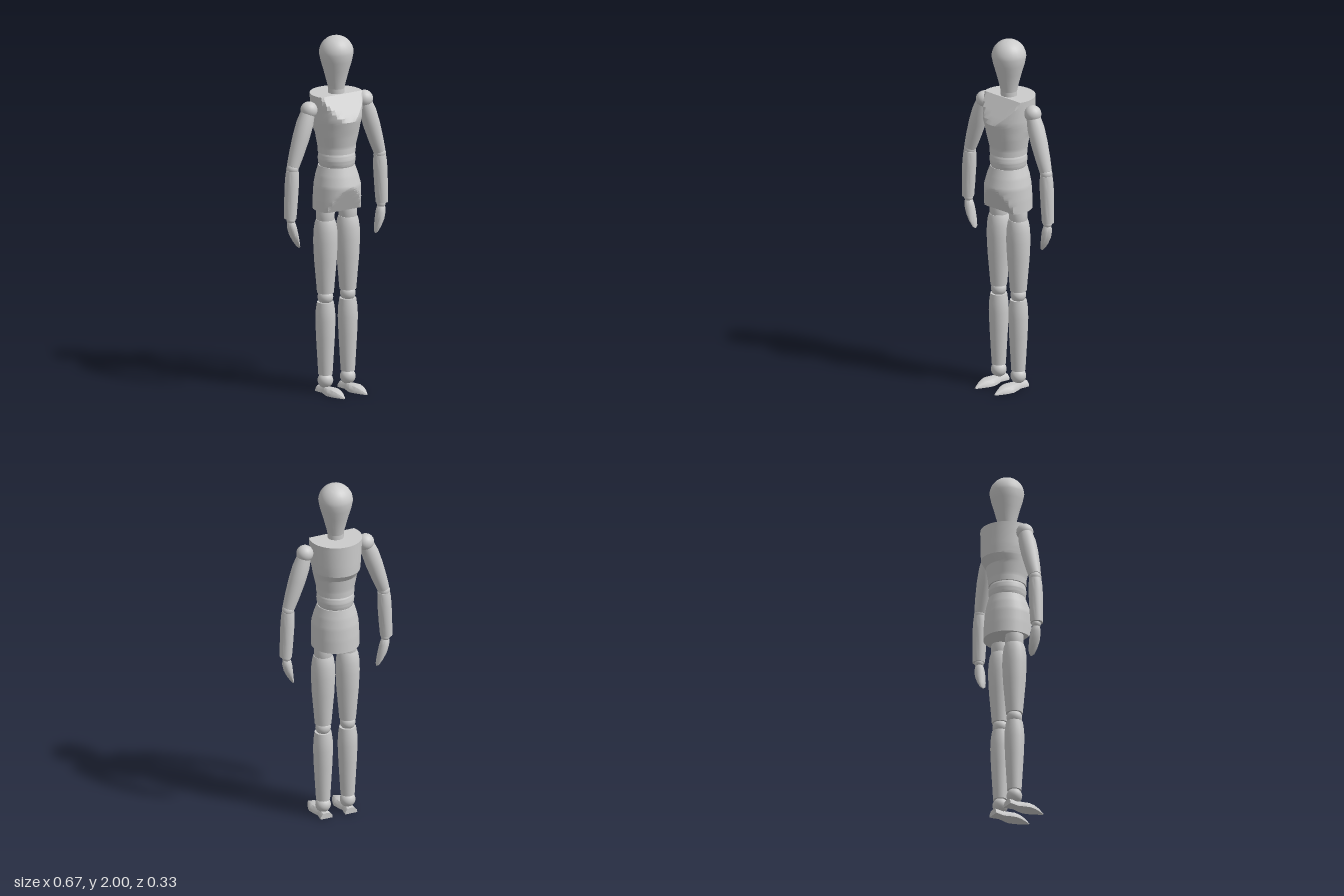
import * as THREE from 'three';
import { toCreasedNormals } from 'three/addons/utils/BufferGeometryUtils.js';

const material = new THREE.MeshStandardMaterial({ color: 0xcccccc });
const CX = 0.003; // body centre line
const CZ = -0.018; // depth of the joint centres

function addMesh(group, name, geometry) {
  const mesh = new THREE.Mesh(geometry, material);
  mesh.name = name;
  group.add(mesh);
  return mesh;
}

// Closed solid through horizontal rings of [x, z] points, listed bottom to top
function loft(rings, crease = 0.6) {
  const n = rings[0].length;
  const pos = [];
  const index = [];
  for (const ring of rings) for (const p of ring) pos.push(...p);
  for (let r = 0; r < rings.length - 1; r++) {
    for (let i = 0; i < n; i++) {
      const a = r * n + i, b = r * n + (i + 1) % n;
      index.push(a, b, b + n, a, b + n, a + n);
    }
  }
  const last = (rings.length - 1) * n;
  for (let i = 1; i < n - 1; i++) {
    index.push(0, i + 1, i, last, last + i, last + i + 1);
  }
  const geometry = new THREE.BufferGeometry();
  geometry.setAttribute('position', new THREE.Float32BufferAttribute(pos, 3));
  geometry.setIndex(index);
  return toCreasedNormals(geometry, crease);
}

// Oval trunk block from [y, halfWidth, backZ, frontZ] rows, its front trimmed by a slanted plane
function trunk(rows, frontLimit) {
  const rings = [];
  const steps = 6, sides = 32;
  for (let k = 0; k <= (rows.length - 1) * steps; k++) {
    const r = Math.min(Math.floor(k / steps), rows.length - 2);
    const f = k / steps - r;
    const [y, w, back, front] = rows[r].map((v, j) => THREE.MathUtils.lerp(v, rows[r + 1][j], f));
    const ring = [];
    for (let i = 0; i < sides; i++) {
      const t = (i / sides) * Math.PI * 2;
      const z = (front + back) / 2 + Math.cos(t) * (front - back) / 2;
      ring.push([CX + Math.sin(t) * w, y, Math.min(z, frontLimit(y))]);
    }
    rings.push(ring);
  }
  return loft(rings, 0.4);
}

// Turned wooden piece from one point to another; profile is [fraction, radius]
function turned(from, to, profile, sides = 20) {
  const a = new THREE.Vector3(...from), b = new THREE.Vector3(...to);
  const axis = b.clone().sub(a);
  const length = axis.length();
  const points = [[0, 0], ...profile, [1, 0]].map(([t, r]) => new THREE.Vector2(r, t * length));
  const geometry = toCreasedNormals(new THREE.LatheGeometry(points, sides), 0.6);
  geometry.applyQuaternion(new THREE.Quaternion().setFromUnitVectors(
    new THREE.Vector3(0, 1, 0), axis.normalize()));
  return geometry.translate(a.x, a.y, a.z);
}

function ball(x, y, r) {
  return new THREE.SphereGeometry(r, 20, 14).translate(x, y, CZ);
}

// Egg-shaped head: tapered jaw rising into a round crown
function headGeometry() {
  const pts = [[0, 1.705], [0.045, 1.705], [0.05, 1.73], [0.071, 1.81], [0.086, 1.86]];
  for (let i = 0; i <= 10; i++) {
    const t = (i / 10) * Math.PI / 2;
    pts.push([i === 10 ? 0 : 0.095 * Math.cos(t), 1.905 + 0.095 * Math.sin(t)]);
  }
  const g = new THREE.LatheGeometry(pts.map((p) => new THREE.Vector2(...p)), 24);
  return toCreasedNormals(g, 0.6).translate(CX, 0, -0.021);
}

// Flat mitten hand, narrowing to an edge that bends inward
function handGeometry(wrist, tip) {
  const rows = [[0, 0.002, 0.004], [0.06, 0.007, 0.017], [0.25, 0.016, 0.026], [0.5, 0.024, 0.031],
    [0.75, 0.027, 0.029], [0.92, 0.024, 0.023], [1, 0.016, 0.016]];
  const outward = Math.sign(wrist[0]);
  return loft(rows.map(([t, w, d]) => {
    const x = THREE.MathUtils.lerp(tip[0], wrist[0], t) + outward * 0.008 * Math.sin(Math.PI * t);
    const y = THREE.MathUtils.lerp(tip[1], wrist[1], t);
    return Array.from({ length: 16 }, (_, i) => {
      const a = (i / 16) * Math.PI * 2;
      return [x + w * Math.sin(a), y, CZ + d * Math.cos(a)];
    });
  }));
}

// Foot with a square heel, narrow arch and pointed toe; rows are [z, halfWidth, height]
function footGeometry(x) {
  const rows = [[-0.065, 0.036, 0.034], [-0.045, 0.034, 0.035], [-0.01, 0.027, 0.035], [0.025, 0.038, 0.036],
    [0.06, 0.046, 0.037], [0.095, 0.038, 0.034], [0.125, 0.025, 0.025], [0.165, 0.005, 0.006]];
  const section = [[-1, 0], [1, 0], [0.95, 0.45], [0.6, 0.9], [0, 1], [-0.6, 0.9], [-0.95, 0.45]];
  return loft(rows.map(([z, w, h]) => section.map(([u, v]) => [x + u * w, v * h, z])), 0.7);
}

export function createModel() {
  const model = new THREE.Group();
  model.name = 'jointedFigure';

  // Head and trunk
  addMesh(model, 'head', headGeometry());
  addMesh(model, 'neck', turned([CX, 1.66, -0.021], [CX, 1.712, -0.021], [[0, 0.045], [1, 0.045]]));
  addMesh(model, 'chest', trunk([
    [1.35, 0.104, -0.121, 0.085], [1.385, 0.106, -0.122, 0.085], [1.46, 0.122, -0.133, 0.102],
    [1.5, 0.131, -0.165, 0.113], [1.54, 0.137, -0.166, 0.123], [1.68, 0.146, -0.166, 0.125],
  ], (y) => 0.03 + (1.68 - y) * 0.68));
  addMesh(model, 'waist', trunk([
    [1.265, 0.092, -0.11, 0.075], [1.285, 0.1, -0.118, 0.083], [1.315, 0.104, -0.122, 0.087],
    [1.34, 0.1, -0.118, 0.083], [1.355, 0.094, -0.11, 0.077],
  ], () => 1));
  addMesh(model, 'pelvis', trunk([
    [1.03, 0.132, -0.149, 0.118], [1.1, 0.132, -0.147, 0.118], [1.17, 0.129, -0.142, 0.117],
    [1.225, 0.117, -0.133, 0.1], [1.275, 0.1, -0.121, 0.082],
  ], (y) => 0.055 + (y - 1.03) * 0.46));

  // Arms: joint positions differ slightly between the sides
  const arms = {
    right: { ball: [-0.18, 1.608], top: [-0.185, 1.6], elbow: [-0.289, 1.295], wrist: [-0.304, 1.015], tip: [-0.246, 0.84] },
    left: { ball: [0.187, 1.617], top: [0.19, 1.6], elbow: [0.288, 1.298], wrist: [0.302, 1.015], tip: [0.259, 0.845] },
  };
  for (const [side, p] of Object.entries(arms)) {
    const arm = new THREE.Group();
    arm.name = side + 'Arm';
    addMesh(arm, 'shoulderBall', ball(...p.ball, 0.047));
    addMesh(arm, 'upperArm', turned([...p.elbow, CZ], [...p.top, CZ],
      [[0.03, 0.034], [0.25, 0.041], [0.55, 0.047], [0.8, 0.047], [1, 0.038]]));
    addMesh(arm, 'elbowBall', ball(p.elbow[0], p.elbow[1] - 0.003, 0.034));
    addMesh(arm, 'forearm', turned([...p.wrist, CZ], [p.elbow[0], p.elbow[1] - 0.013, CZ],
      [[0, 0.034], [0.3, 0.037], [0.7, 0.039], [0.9, 0.037], [1, 0.034]]));
    addMesh(arm, 'wristBall', ball(p.wrist[0] * 0.985, p.wrist[1] - 0.007, 0.025));
    addMesh(arm, 'hand', handGeometry([p.wrist[0] * 0.985, 1.0], p.tip));
    model.add(arm);
  }

  // Legs
  for (const [side, s] of [['right', -1], ['left', 1]]) {
    const x = CX + s * 0.074;
    const leg = new THREE.Group();
    leg.name = side + 'Leg';
    addMesh(leg, 'hipJoint', turned([x, 0.95, CZ], [x, 1.04, CZ],
      [[0, 0.044], [0.3, 0.05], [0.7, 0.051], [1, 0.048]]));
    addMesh(leg, 'thigh', turned([x, 0.562, CZ], [x, 0.975, CZ],
      [[0, 0.046], [0.2, 0.053], [0.45, 0.062], [0.7, 0.067], [0.85, 0.065], [0.95, 0.059], [1, 0.052]]));
    addMesh(leg, 'kneeBall', ball(x, 0.537, 0.043));
    addMesh(leg, 'shin', turned([x, 0.1, CZ], [x, 0.51, CZ],
      [[0, 0.039], [0.25, 0.045], [0.5, 0.051], [0.75, 0.055], [0.88, 0.053], [1, 0.046]]));
    addMesh(leg, 'ankleBall', ball(x, 0.067, 0.043));
    addMesh(leg, 'foot', footGeometry(x));
    model.add(leg);
  }
  return model;
}
